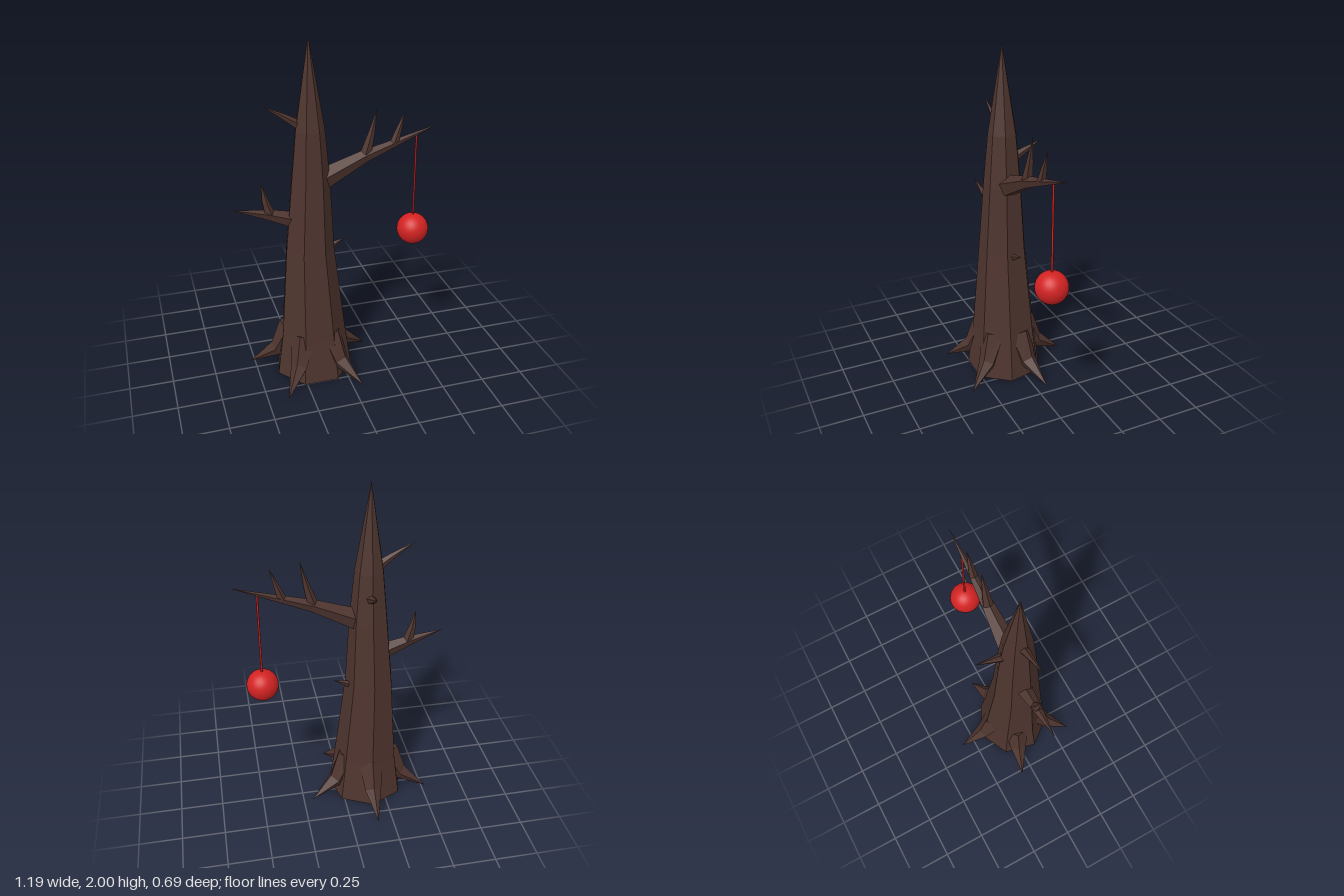
import * as THREE from 'three';

const bark = new THREE.MeshStandardMaterial({ color: 0x4e342e });
bark.name = 'bark brown';
const red = new THREE.MeshStandardMaterial({ color: 0xd32222 });
red.name = 'ornament red';

const CX = -0.163, CZ = 0.047; // trunk axis

// Faceted limb through stations [x, y, z, radius]; sections follow the path
// unless a fixed axis is given.
function limb(name, stations, sides, axis) {
  const pts = stations.map((s) => new THREE.Vector3(s[0], s[1], s[2]));
  const rings = pts.map((p, k) => {
    const t = axis ? axis.clone()
      : pts[Math.min(k + 1, pts.length - 1)].clone().sub(pts[Math.max(k - 1, 0)]).normalize();
    const u = axis ? new THREE.Vector3(0, 0, -1) : new THREE.Vector3(0, 1, 0);
    if (Math.abs(u.dot(t)) > 0.98) u.set(1, 0, 0);
    u.addScaledVector(t, -u.dot(t)).normalize();
    const v = t.clone().cross(u);
    return Array.from({ length: sides }, (_, i) => {
      const a = (i / sides) * Math.PI * 2, r = stations[k][3];
      return p.clone().addScaledVector(u, r * Math.cos(a)).addScaledVector(v, r * Math.sin(a));
    });
  });
  const out = [];
  const tri = (...c) => c.forEach((q) => out.push(q.x, q.y, q.z));
  for (let i = 0; i < sides; i++) {
    const j = (i + 1) % sides;
    tri(pts[0], rings[0][j], rings[0][i]); // base cap
    for (let k = 0; k < rings.length - 1; k++) {
      const a = rings[k], b = rings[k + 1];
      tri(a[i], a[j], b[j]);
      if (stations[k + 1][3] > 0) tri(a[i], b[j], b[i]);
    }
  }
  // a pointed end collapses b[i] and b[j] onto the tip
  const g = new THREE.BufferGeometry();
  g.setAttribute('position', new THREE.Float32BufferAttribute(out, 3));
  g.computeVertexNormals();
  const m = new THREE.Mesh(g, bark);
  m.name = name;
  return m;
}

export function createModel() {
  const model = new THREE.Group();
  model.name = 'bareTree';

  // Seven-sided tapering trunk
  model.add(limb('trunk', [
    [CX, 0.005, CZ, 0.23], [CX, 0.27, CZ, 0.193], [CX - 0.012, 0.8, CZ, 0.142],
    [CX - 0.002, 1.2, CZ, 0.112], [CX, 1.5, CZ, 0.083], [CX, 2, CZ, 0],
  ], 7, new THREE.Vector3(0, 1, 0)));

  // Five pointed roots around the foot
  const roots = new THREE.Group();
  roots.name = 'roots';
  for (let i = 0; i < 5; i++) {
    const a = -Math.PI / 2 + (i * Math.PI * 2) / 5;
    const at = (d, y, r) => [CX + d * Math.cos(a), y, CZ + d * Math.sin(a), r];
    roots.add(limb('root', [at(0.125, 0.27, 0.078), at(0.21, 0.11, 0.052), at(0.38, 0.005, 0)], 5));
  }
  model.add(roots);

  // Branches and their twigs
  const branches = new THREE.Group();
  branches.name = 'branches';
  branches.add(
    limb('mainBranch', [[-0.1, 1.205, CZ, 0.064], [0.15, 1.315, CZ, 0.037], [0.59, 1.462, CZ, 0]], 5),
    limb('mainTwigInner', [[0.155, 1.33, CZ, 0.032], [0.185, 1.44, CZ, 0.02], [0.217, 1.585, CZ, 0]], 5),
    limb('mainTwigOuter', [[0.32, 1.375, CZ, 0.026], [0.345, 1.45, CZ, 0.017], [0.38, 1.555, CZ, 0]], 5),
    limb('leftBranch', [[-0.25, 0.98, CZ, 0.05], [-0.4, 1.03, CZ, 0.031], [-0.6, 1.082, CZ, 0]], 5),
    limb('leftTwig', [[-0.395, 1.03, CZ, 0.032], [-0.42, 1.12, CZ, 0.02], [-0.437, 1.225, CZ, 0]], 5),
    limb('upperBranch', [[-0.2, 1.515, CZ, 0.03], [-0.29, 1.575, CZ, 0.018], [-0.417, 1.65, CZ, 0]], 5),
    limb('backBranch', [[-0.158, 1.345, 0, 0.032], [-0.156, 1.385, -0.085, 0.019], [-0.153, 1.437, -0.19, 0]], 5),
    limb('smallBranch', [[-0.06, 0.775, 0.035, 0.022], [-0.01, 0.797, 0.033, 0.013], [0.045, 0.818, 0.03, 0]], 5),
  );
  model.add(branches);

  // Hanging ornament
  const string = new THREE.Mesh(new THREE.CylinderGeometry(0.006, 0.006, 0.5, 8), red);
  string.name = 'string';
  string.position.set(0.452, 1.16, CZ);
  const ball = new THREE.Mesh(new THREE.SphereGeometry(0.092, 32, 24), red);
  ball.name = 'ball';
  ball.position.set(0.452, 0.83, CZ);
  model.add(string, ball);

  return model;
}
